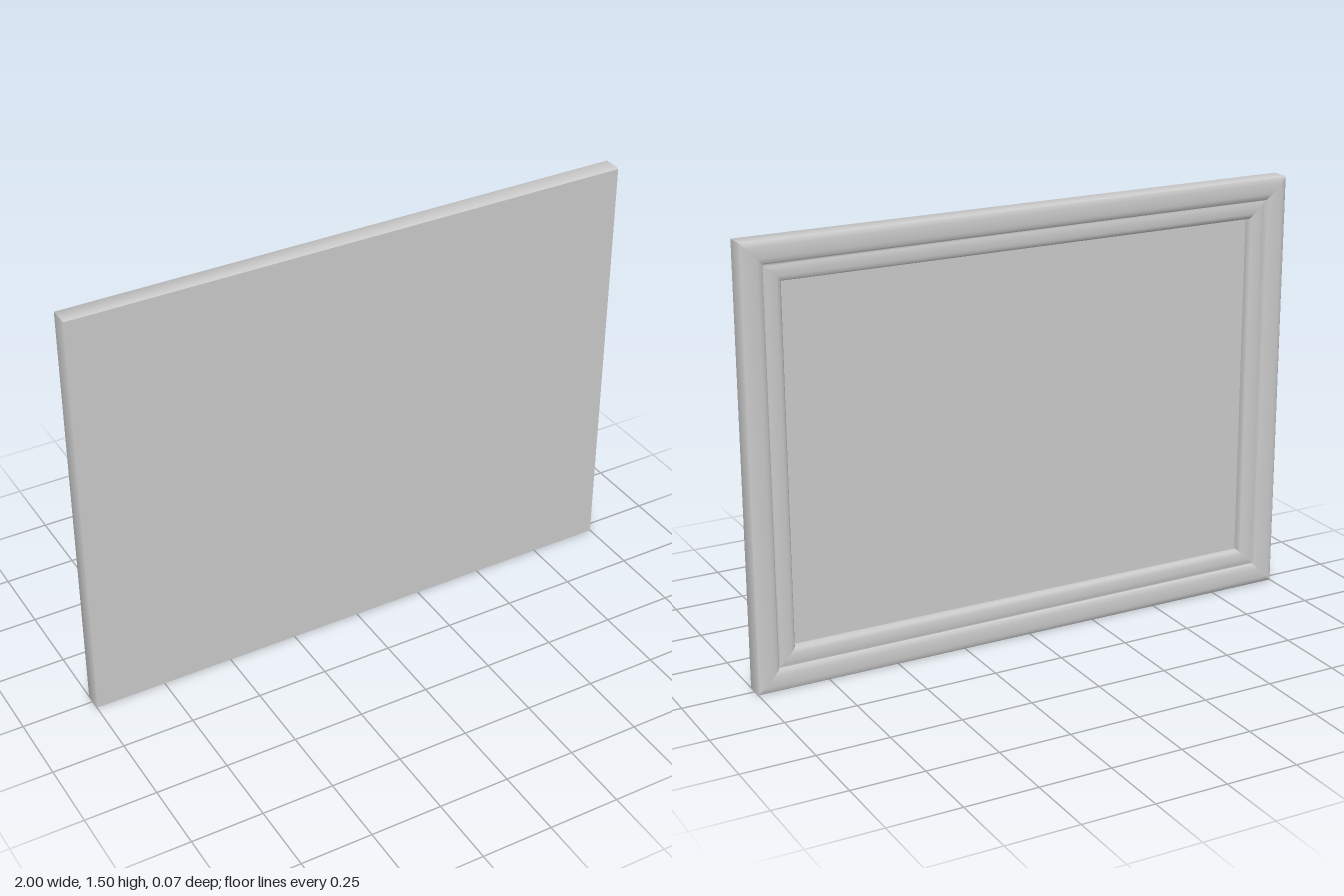
import * as THREE from 'three';
import { mergeGeometries, toCreasedNormals } from 'three/addons/utils/BufferGeometryUtils.js';

const HALF_W = 1, HALF_H = 0.75;
const FRONT_Z = 0.037, PANEL_Z = 0.004;

// Moulding cross-section: [inset from the outer edge, z], front edge to inner lip
const PROFILE = [
  [0.002, FRONT_Z], [0, 0.034], [0, -0.03], [0.004, -0.034], [0.02, -0.0365],
  [0.038, -0.037], [0.056, -0.036], [0.07, -0.033], [0.076, -0.028], [0.077, -0.024],
  [0.084, -0.027], [0.102, -0.028], [0.12, -0.027], [0.132, -0.024],
  [0.137, -0.018], [0.137, PANEL_Z],
];
const CORNERS = [[-1, -1], [1, -1], [1, 1], [-1, 1]];

// One mitred rail between two neighbouring corners
function railGeometry(from, to) {
  const positions = [], index = [];
  for (const [inset, z] of PROFILE) {
    for (const [cx, cy] of [from, to]) {
      positions.push(cx * (HALF_W - inset), HALF_H + cy * (HALF_H - inset), z);
    }
  }
  for (let i = 0; i < PROFILE.length - 1; i++) {
    const a0 = i * 2, b0 = a0 + 1, a1 = a0 + 2, b1 = a0 + 3;
    index.push(a0, a1, b0, b0, a1, b1);
  }
  const geometry = new THREE.BufferGeometry();
  geometry.setAttribute('position', new THREE.Float32BufferAttribute(positions, 3));
  geometry.setIndex(index);
  return toCreasedNormals(geometry, 1.1);
}

// Flat sheet at one depth, inset evenly from the outer edge
function sheet(name, inset, z, material) {
  const geometry = new THREE.PlaneGeometry(2 * (HALF_W - inset), 2 * (HALF_H - inset));
  const mesh = new THREE.Mesh(geometry, material);
  mesh.name = name;
  mesh.position.set(0, HALF_H, z);
  return mesh;
}

export function createModel() {
  const group = new THREE.Group();
  group.name = 'pictureFrame';
  const grey = new THREE.MeshStandardMaterial({ color: 0xcacaca });
  grey.name = 'plainGrey';

  // Moulded border, four mitred rails
  const rails = CORNERS.map((corner, i) => railGeometry(corner, CORNERS[(i + 1) % 4]));
  const moulding = new THREE.Mesh(mergeGeometries(rails), grey);
  moulding.name = 'moulding';
  group.add(moulding);

  // Flat sheet closing the front
  group.add(sheet('flatFront', 0.002, FRONT_Z, grey));

  // Recessed picture panel, turned to face the moulded side
  const panel = sheet('recessedPanel', 0.137, PANEL_Z, grey);
  panel.rotation.y = Math.PI;
  group.add(panel);
  return group;
}
